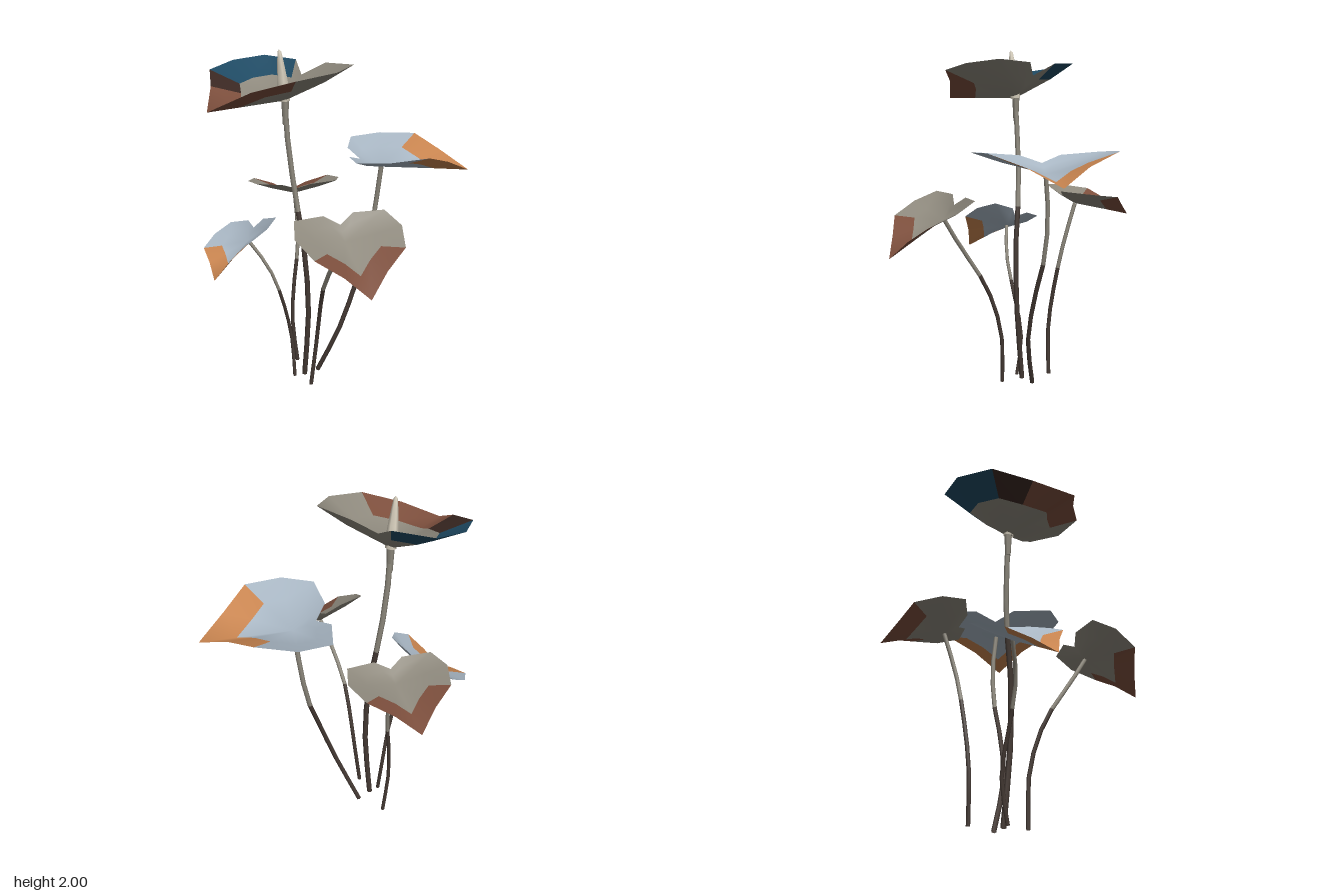
import * as THREE from 'three';

const mat = (color) => new THREE.MeshStandardMaterial({ color, side: THREE.DoubleSide });
const GREY = mat(0x8f8a7e), BROWN = mat(0x7d4f3d), BLUE = mat(0xa9b7c4), ORANGE = mat(0xc98550);
const TEAL = mat(0x1f4a63), DARK = mat(0x3a2822), STEM = mat(0x453a34), IVORY = mat(0xd8d0be);

// Half outline of the heart-shaped blade, notch to tip: [sideways, forward]
const HALF = [[0, -0.13], [0.12, -0.2], [0.36, -0.17], [0.42, 0.02], [0.35, 0.24], [0.165, 0.375], [0, 0.53]];
const SHALLOW = [0.05, 0.09, 0.11, 0.125, 0.135, 0.07, -0.02];
const CUPPED = [0.13, 0.2, 0.21, 0.19, 0.16, 0.1, 0];

// Blade: centre point, inner ring and outer ring, with a material for each rim sector
function leafGeometry(heights, rimMaterial) {
  const half = HALF.map(([x, z], i) => [x, heights[i], z]);
  const mirrored = half.slice(1, -1).reverse().map(([x, y, z]) => [-x, y, z]);
  const outline = [...half, ...mirrored];
  const n = outline.length;
  const positions = [0, 0, 0];
  for (const [x, y, z] of outline) positions.push(x * 0.6, y * 0.54, z * 0.6);
  for (const p of outline) positions.push(...p);
  const index = [];
  for (let i = 0; i < n; i++) index.push(0, 1 + (i + 1) % n, 1 + i);
  const g = new THREE.BufferGeometry();
  g.addGroup(0, n * 3, 0);
  for (let i = 0; i < n; i++) {
    const a = 1 + i, b = 1 + (i + 1) % n;
    g.addGroup(index.length, 6, rimMaterial(i));
    index.push(a, b, b + n, a, b + n, a + n);
  }
  g.setAttribute('position', new THREE.Float32BufferAttribute(positions, 3));
  g.setIndex(index);
  g.computeVertexNormals();
  return g;
}

// Stem: thin tube, dark below and paler toward the leaf
function stemMesh(points, radius) {
  const segments = 8, sides = 6, darkSegments = 5;
  const curve = new THREE.CatmullRomCurve3(points.map((p) => new THREE.Vector3(...p)));
  const g = new THREE.TubeGeometry(curve, segments, radius, sides);
  g.clearGroups();
  g.addGroup(0, darkSegments * sides * 6, 0);
  g.addGroup(darkSegments * sides * 6, (segments - darkSegments) * sides * 6, 1);
  return new THREE.Mesh(g, [STEM, GREY]);
}

// Only the sectors around the tip are coloured
const tipRim = (i) => (i >= 4 && i <= 7 ? 1 : 0);
// The bloom also has a dark sector and a teal side lobe
const bloomRim = (i) => (i === 7 ? 2 : i >= 8 && i <= 10 ? 3 : tipRim(i));

// The last stem point is where the blade is attached
const PLANTS = [
  { name: 'bloom', scale: 1, yaw: 0, tilt: 0, roll: 0, radius: 0.016, colors: [GREY, BROWN, DARK, TEAL],
    heights: CUPPED, rim: bloomRim,
    stem: [[-0.12, 0, 0.055], [-0.075, 0.47, 0.06], [-0.095, 0.9, 0.08], [-0.14, 1.17, 0.095], [-0.165, 1.5, 0.125], [-0.167, 1.72, 0.14]] },
  { name: 'backLeaf', scale: 0.96, yaw: 2.36, tilt: 0, roll: 0, radius: 0.014, colors: [BLUE, ORANGE],
    stem: [[-0.1, 0, -0.04], [0.03, 0.32, -0.105], [0.08, 0.6, -0.19], [0.105, 0.85, -0.275], [0.125, 1.1, -0.31], [0.155, 1.32, -0.315]] },
  { name: 'rightLeaf', scale: 0.68, yaw: -2.19, tilt: 0.19, roll: 0, radius: 0.012, colors: [GREY, BROWN],
    stem: [[-0.28, 0, -0.035], [-0.3, 0.28, -0.015], [-0.31, 0.48, -0.035], [-0.33, 0.82, -0.1], [-0.4, 1.085, -0.14]] },
  { name: 'leftLeaf', scale: 0.72, yaw: 1.17, tilt: 0.5, roll: 0, radius: 0.012, colors: [GREY, BROWN],
    stem: [[0, 0, 0.115], [0.03, 0.3, 0.095], [0.085, 0.53, 0.12], [0.15, 0.69, 0.16], [0.27, 0.88, 0.205], [0.38, 1.05, 0.225]] },
  { name: 'frontLeaf', scale: 0.62, yaw: 0.13, tilt: 0.46, roll: 0.33, radius: 0.011, colors: [BLUE, ORANGE],
    stem: [[-0.145, 0, 0.115], [-0.18, 0.25, 0.105], [-0.185, 0.55, 0.18], [-0.215, 0.75, 0.25], [-0.305, 0.91, 0.32]] },
];

export function createModel() {
  const model = new THREE.Group();
  model.name = 'pottedLeafPlant';
  for (const p of PLANTS) {
    const stem = stemMesh(p.stem, p.radius);
    stem.name = p.name + 'Stem';
    const blade = new THREE.Mesh(leafGeometry(p.heights ?? SHALLOW, p.rim ?? tipRim), p.colors);
    blade.name = p.name + 'Blade';
    blade.position.set(...p.stem.at(-1));
    blade.rotation.set(p.tilt, p.yaw, p.roll, 'YXZ');
    blade.scale.setScalar(p.scale);
    model.add(stem, blade);
  }

  // Flared joint under the bloom
  const joint = new THREE.Mesh(new THREE.CylinderGeometry(0.023, 0.016, 0.14, 6), GREY);
  joint.name = 'bloomJoint';
  joint.position.set(-0.167, 1.655, 0.137);
  model.add(joint);

  // Six-sided spike standing in the bloom, leaning slightly forward
  const profile = [[0.03, 0], [0.035, 0.05], [0.028, 0.13], [0.018, 0.22], [0.011, 0.27], [0, 0.283]];
  const spike = new THREE.Mesh(new THREE.LatheGeometry(profile.map(([r, y]) => new THREE.Vector2(r, y)), 6), IVORY);
  spike.name = 'spike';
  spike.position.set(-0.167, 1.718, 0.14);
  spike.rotation.x = 0.12;
  model.add(spike);
  return model;
}
